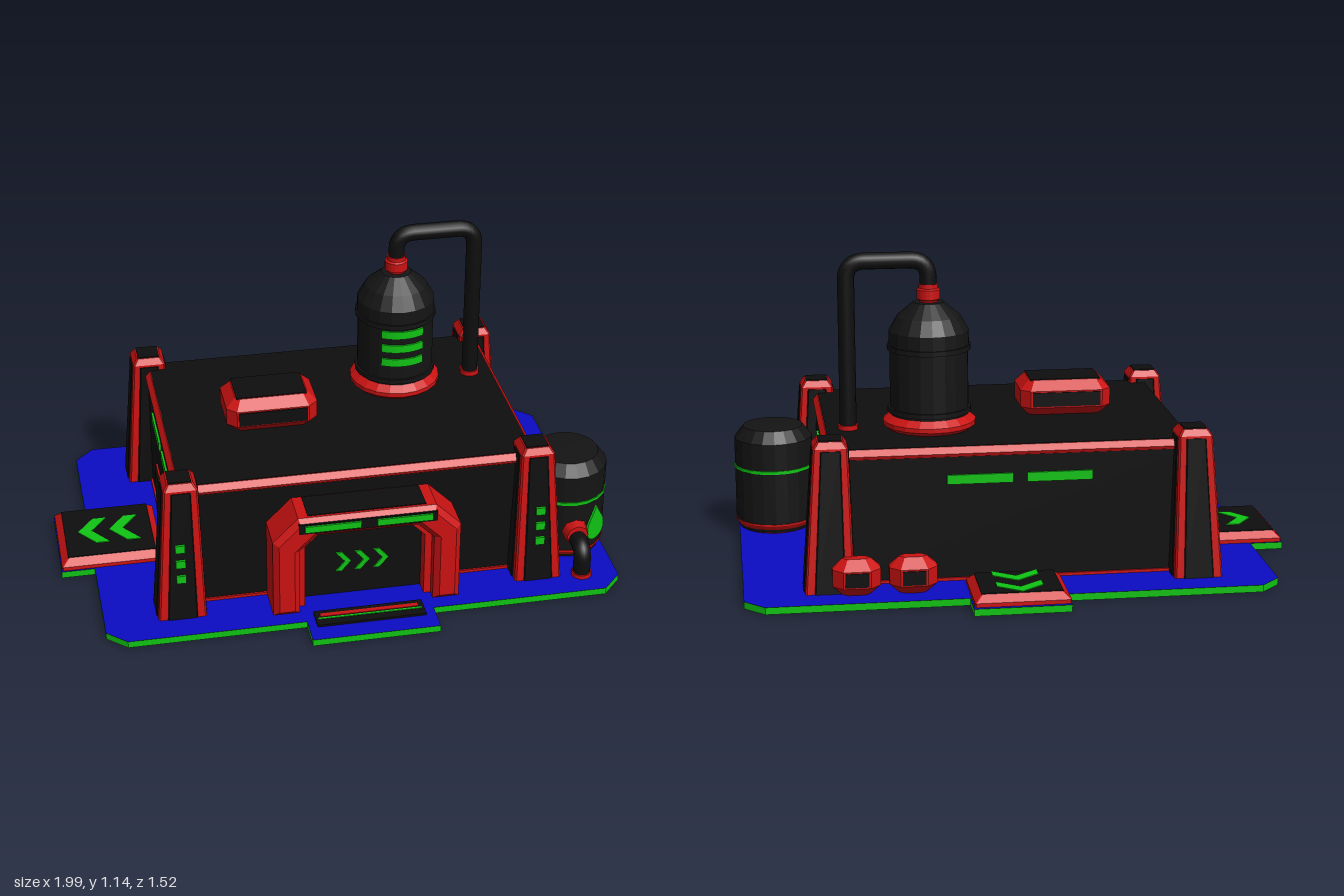
import * as THREE from 'three';

const mat = (name, color) => Object.assign(new THREE.MeshStandardMaterial({ color }), { name });

export function createModel() {
  const red = mat('red trim', 0xcc1212), black = mat('black panel', 0x0e0e0e), tankGrey = mat('tank black', 0x141414);
  const green = mat('green light', 0x10c414), blue = mat('blue floor', 0x0c0cc4), glass = mat('dark green glass', 0x0a1c0c);
  const root = new THREE.Group();
  const CX = 0.04, FLOOR = 0.025;

  // ---------- helpers ----------
  function add(name, geo, material, x = 0, y = 0, z = 0, parent = root) {
    const m = new THREE.Mesh(geo, material);
    m.name = name;
    m.position.set(x, y, z);
    parent.add(m);
    return m;
  }
  const box = (name, material, x0, x1, y0, y1, z0, z1) =>
    add(name, new THREE.BoxGeometry(x1 - x0, y1 - y0, z1 - z0), material, (x0 + x1) / 2, (y0 + y1) / 2, (z0 + z1) / 2);
  function flat(geo) {
    const g = geo.index ? geo.toNonIndexed() : geo;
    g.computeVertexNormals();
    return g;
  }
  // stacked chamfered rectangles: [y, width, depth, chamfer, offsetX, offsetZ]
  function loft(layers) {
    const rings = layers.map(([y, w, d, c = 0.004, ox = 0, oz = 0]) => {
      const a = w / 2, b = d / 2;
      return [[a, c - b], [a, b - c], [a - c, b], [c - a, b], [-a, b - c], [-a, c - b], [c - a, -b], [a - c, -b]]
        .map(([x, v]) => [x + ox, y, oz - v]);
    });
    const p = [], tri = (...v) => v.forEach(q => p.push(...q));
    for (let k = 0; k + 1 < rings.length; k++) {
      const lo = rings[k], hi = rings[k + 1];
      for (let i = 0; i < 8; i++) {
        const j = (i + 1) % 8;
        tri(lo[i], lo[j], hi[j]);
        tri(lo[i], hi[j], hi[i]);
      }
    }
    const bot = rings[0], top = rings[rings.length - 1];
    for (let i = 1; i < 7; i++) {
      tri(top[0], top[i], top[i + 1]);
      tri(bot[0], bot[i + 1], bot[i]);
    }
    const g = new THREE.BufferGeometry();
    g.setAttribute('position', new THREE.Float32BufferAttribute(p, 3));
    g.computeVertexNormals();
    return g;
  }
  const poly = pts => new THREE.Shape(pts.map(([x, y]) => new THREE.Vector2(x, y)));
  const plate = (shape, depth) => new THREE.ExtrudeGeometry(shape, { depth, bevelEnabled: false });
  const chevron = (w, h, t) => plate(poly([[0, h], [t, h], [w, 0], [t, -h], [0, -h], [w - t, 0]]), 0.006);
  const lathe = pts => flat(new THREE.LatheGeometry(pts.map(([r, y]) => new THREE.Vector2(r, y)), 20));
  // pipe along straight runs with rounded corners
  function pipe(points, r, bend) {
    const v = points.map(q => new THREE.Vector3(...q)), path = new THREE.CurvePath();
    let from = v[0];
    for (let i = 1; i < v.length - 1; i++) {
      const a = v[i].clone().add(v[i - 1].clone().sub(v[i]).setLength(bend));
      const b = v[i].clone().add(v[i + 1].clone().sub(v[i]).setLength(bend));
      path.add(new THREE.LineCurve3(from, a));
      path.add(new THREE.QuadraticBezierCurve3(a, v[i], b));
      from = b;
    }
    path.add(new THREE.LineCurve3(from, v[v.length - 1]));
    return new THREE.TubeGeometry(path, 60, r, 12, false);
  }

  // ---------- base slab with three tabs ----------
  const outline = poly([
    [-0.88, -0.58], [-0.81, -0.645], [-0.18, -0.645], [-0.18, -0.755], [0.275, -0.755], [0.275, -0.645],
    [0.91, -0.645], [0.98, -0.57], [0.98, 0.58], [0.91, 0.65], [0.215, 0.65], [0.215, 0.762], [-0.12, 0.762], [-0.12, 0.65],
    [-0.81, 0.65], [-0.88, 0.58], [-0.88, 0.185], [-1, 0.185], [-1, -0.18], [-0.88, -0.18]]);
  add('baseSlab', plate(outline, FLOOR).rotateX(-Math.PI / 2), [black, green]);
  add('floor', new THREE.ShapeGeometry(outline).rotateX(-Math.PI / 2), blue, 0, FLOOR + 0.001);

  // ---------- main building ----------
  add('walls', loft([[FLOOR, 1.28, 0.9], [0.48, 1.28, 0.9]]), black, CX);
  add('skirting', loft([[FLOOR, 1.295, 0.915], [0.036, 1.295, 0.915]]), red, CX);
  add('roofTrim', loft([[0.473, 1.29, 0.91], [0.485, 1.3, 0.92], [0.506, 1.265, 0.885]]), red, CX);
  add('roof', loft([[0.5, 1.26, 0.88], [0.508, 1.26, 0.88]]), black, CX);

  // tapered corner pillars
  for (const sx of [-1, 1]) for (const sz of [-1, 1]) {
    const g = new THREE.Group();
    g.name = 'cornerPillar';
    g.position.x = CX;
    root.add(g);
    const lower = (w, d) => [FLOOR, w, d, 0.006, sx * 0.645, sz * 0.463];
    const upper = (w, d, y = 0.53) => [y, w, d, 0.006, sx * 0.633, sz * 0.45];
    add('pillarFrame', loft([lower(0.17, 0.165), upper(0.12, 0.12), upper(0.09, 0.09, 0.552)]), red, 0, 0, 0, g);
    add('pillarPanelZ', loft([lower(0.11, 0.173), upper(0.074, 0.128, 0.522)]), black, 0, 0, 0, g);
    add('pillarPanelX', loft([lower(0.178, 0.105), upper(0.128, 0.074, 0.522)]), black, 0, 0, 0, g);
    add('pillarTop', new THREE.BoxGeometry(0.08, 0.006, 0.08), black, sx * 0.633, 0.553, sz * 0.45, g);
    if (sz > 0) for (const y of [0.19, 0.25, 0.31])
      add('pillarLight', new THREE.BoxGeometry(0.034, 0.03, 0.016), green, sx * 0.645, y, 0.551 - y * 0.07, g);
  }

  // light strips on the sides and back
  for (const [a, b] of [[-0.245, -0.02], [0.03, 0.215]]) {
    box('rightLight', green, 0.678, 0.688, 0.375, 0.408, a, b);
    box('leftLight', green, -0.608, -0.598, 0.375, 0.408, a, b);
  }
  for (const [a, b] of [[-0.24, -0.01], [0.04, 0.27]]) box('backLight', green, a, b, 0.375, 0.408, -0.458, -0.448);

  // side door leaves
  for (const [a, b, h] of [[-0.17, 0.04, 0.23], [0.06, 0.25, 0.3]]) {
    box('sideDoorFrame', red, -0.607, -0.598, FLOOR, h, a, b);
    box('sideDoorLeaf', glass, -0.612, -0.603, FLOOR, h - 0.012, a + 0.012, b - 0.012);
  }

  // ---------- front gate ----------
  const arch = (w, h, c) => [[-w, FLOOR], [-w, h - c], [c - w, h], [w - c, h], [w, h - c], [w, FLOOR]];
  function archFrame(name, outer, inner, z0, z1, bevel) {
    const s = poly([...outer, ...inner.slice().reverse()]);
    add(name, new THREE.ExtrudeGeometry(s, {
      depth: z1 - z0 - bevel, bevelEnabled: bevel > 0, bevelThickness: bevel, bevelSize: bevel, bevelOffset: -bevel, bevelSegments: 1,
    }), red, CX + 0.005, 0, z0);
  }
  archFrame('gateFrame', arch(0.335, 0.42, 0.09), arch(0.24, 0.345, 0.06), 0.44, 0.605, 0.02);
  archFrame('gateInnerFrame', arch(0.255, 0.36, 0.065), arch(0.215, 0.325, 0.05), 0.44, 0.55, 0);
  add('gateDoor', plate(poly(arch(0.25, 0.35, 0.06)), 0.05), black, CX + 0.005, 0, 0.445);
  for (let i = 0; i < 3; i++) add('gateArrow', chevron(0.055, 0.039, 0.022), green, -0.05 + i * 0.068, 0.163, 0.495);
  box('gateRoofPanel', black, -0.165, 0.255, 0.416, 0.423, 0.455, 0.575);
  box('gateSign', black, -0.2, 0.29, 0.367, 0.405, 0.595, 0.607);
  for (const [a, b] of [[-0.18, 0.018], [0.075, 0.272]]) box('gateLight', green, a, b, 0.375, 0.4, 0.605, 0.614);
  box('doorStep', black, -0.15, 0.24, FLOOR, 0.034, 0.6, 0.685);
  box('doorStepStripe', red, -0.13, 0.22, 0.03, 0.036, 0.62, 0.638);
  box('doorStepLight', green, -0.14, 0.23, 0.03, 0.036, 0.644, 0.652);

  // ---------- landing pads ----------
  function pad(name, w, d, x, z, turn) {
    const g = new THREE.Group();
    g.name = name;
    g.position.set(x, 0, z);
    root.add(g);
    add('padFrame', loft([[FLOOR, w, d], [0.04, w, d], [0.064, w - 0.05, d - 0.05]]), red, 0, 0, 0, g);
    add('padTop', new THREE.BoxGeometry(w - 0.05, 0.006, d - 0.05), black, 0, 0.064, 0, g);
    for (const s of [-0.115, 0])
      add('padArrow', chevron(0.11, 0.08, 0.05).rotateX(-Math.PI / 2).translate(s, 0, 0).rotateY(turn), green, 0, 0.064, 0, g);
  }
  pad('leftwardPad', 0.37, 0.355, -0.812, -0.003, Math.PI);
  pad('backPad', 0.33, 0.27, 0.045, -0.615, Math.PI / 2);

  // ---------- bevelled boxes: roof unit and back canisters ----------
  function unit(name, w, h, d, b, x, y, z) {
    const g = new THREE.Group();
    g.name = name;
    g.position.set(x, y, z);
    root.add(g);
    add('shell', loft([[0, w - 2 * b, d - 2 * b, b / 2], [b, w, d, b], [h - b, w, d, b], [h, w - 2 * b, d - 2 * b, b / 2]]), red, 0, 0, 0, g);
    add('band', new THREE.BoxGeometry(w - 2.4 * b, h - 2.3 * b, d + 0.008), black, 0, h / 2, 0, g);
    return g;
  }
  const vent = unit('roofUnit', 0.33, 0.13, 0.225, 0.034, -0.208, 0.506, 0.03);
  add('unitTop', new THREE.BoxGeometry(0.255, 0.006, 0.15), black, 0, 0.13, 0, vent);
  for (const x of [0.4, 0.595]) unit('backCanister', 0.165, 0.13, 0.11, 0.035, x, FLOOR, -0.548);

  // ---------- roof tank ----------
  const TX = 0.3, TZ = -0.155;
  add('tankBase', lathe([[0, 0.505], [0.145, 0.505], [0.166, 0.522], [0.166, 0.538], [0.14, 0.56], [0, 0.56]]), red, TX, 0, TZ);
  add('roofTank', lathe([[0.14, 0.55], [0.14, 0.568], [0.149, 0.568], [0.149, 0.585], [0.14, 0.585], [0.14, 0.792], [0.149, 0.792],
    [0.149, 0.81], [0.143, 0.81], [0.142, 0.86], [0.112, 0.912], [0.055, 0.96], [0, 0.962]]), tankGrey, TX, 0, TZ);
  add('tankNeck', lathe([[0.03, 0.955], [0.034, 0.968], [0.042, 0.972], [0.042, 1.005], [0.034, 1.01], [0.034, 1.025], [0, 1.025]]), red, TX, 0, TZ);
  for (const y of [0.655, 0.712, 0.768])
    add('tankLight', new THREE.CylinderGeometry(0.146, 0.146, 0.03, 8, 1, false, -0.56, 1.12), green, TX, y, TZ);
  add('roofPipe', pipe([[TX, 1.0, TZ], [TX, 1.11, TZ], [0.59, 1.11, TZ], [0.59, 0.5, TZ]], 0.03, 0.065), black);
  add('pipeFoot', new THREE.CylinderGeometry(0.036, 0.036, 0.018, 12), red, 0.59, 0.516, TZ);

  // ---------- storage tank beside the building ----------
  const SX = 0.845, SZ = 0.3;
  add('storageTank', lathe([[0, 0.03], [0.132, 0.03], [0.145, 0.065], [0.145, 0.372], [0.112, 0.415], [0, 0.417]]), tankGrey, SX, 0, SZ);
  add('storageTankBase', lathe([[0, FLOOR], [0.125, FLOOR], [0.147, 0.058], [0.147, 0.064], [0, 0.064]]), red, SX, 0, SZ);
  add('storageTankRing', lathe([[0.14, 0.259], [0.149, 0.259], [0.149, 0.271], [0.14, 0.271]]), green, SX, 0, SZ);
  const drop = new THREE.Shape();
  drop.moveTo(0, 0.075);
  drop.bezierCurveTo(0.012, 0.04, 0.045, 0.015, 0.045, -0.022);
  drop.bezierCurveTo(0.045, -0.085, -0.045, -0.085, -0.045, -0.022);
  drop.bezierCurveTo(-0.045, 0.015, -0.012, 0.04, 0, 0.075);
  add('dropEmblem', plate(drop, 0.008).translate(0, 0, 0.146).rotateY(0.58), green, SX, 0.165, SZ);
  add('outletCollar', new THREE.CylinderGeometry(0.04, 0.05, 0.045, 8).rotateX(Math.PI / 2), red, 0.848, 0.147, 0.455);
  add('outletPipe', pipe([[0.848, 0.135, 0.43], [0.848, 0.135, 0.543], [0.848, FLOOR, 0.543]], 0.032, 0.05), black);
  add('outletFoot', new THREE.CylinderGeometry(0.037, 0.037, 0.016, 12), red, 0.848, 0.033, 0.543);

  return root;
}
